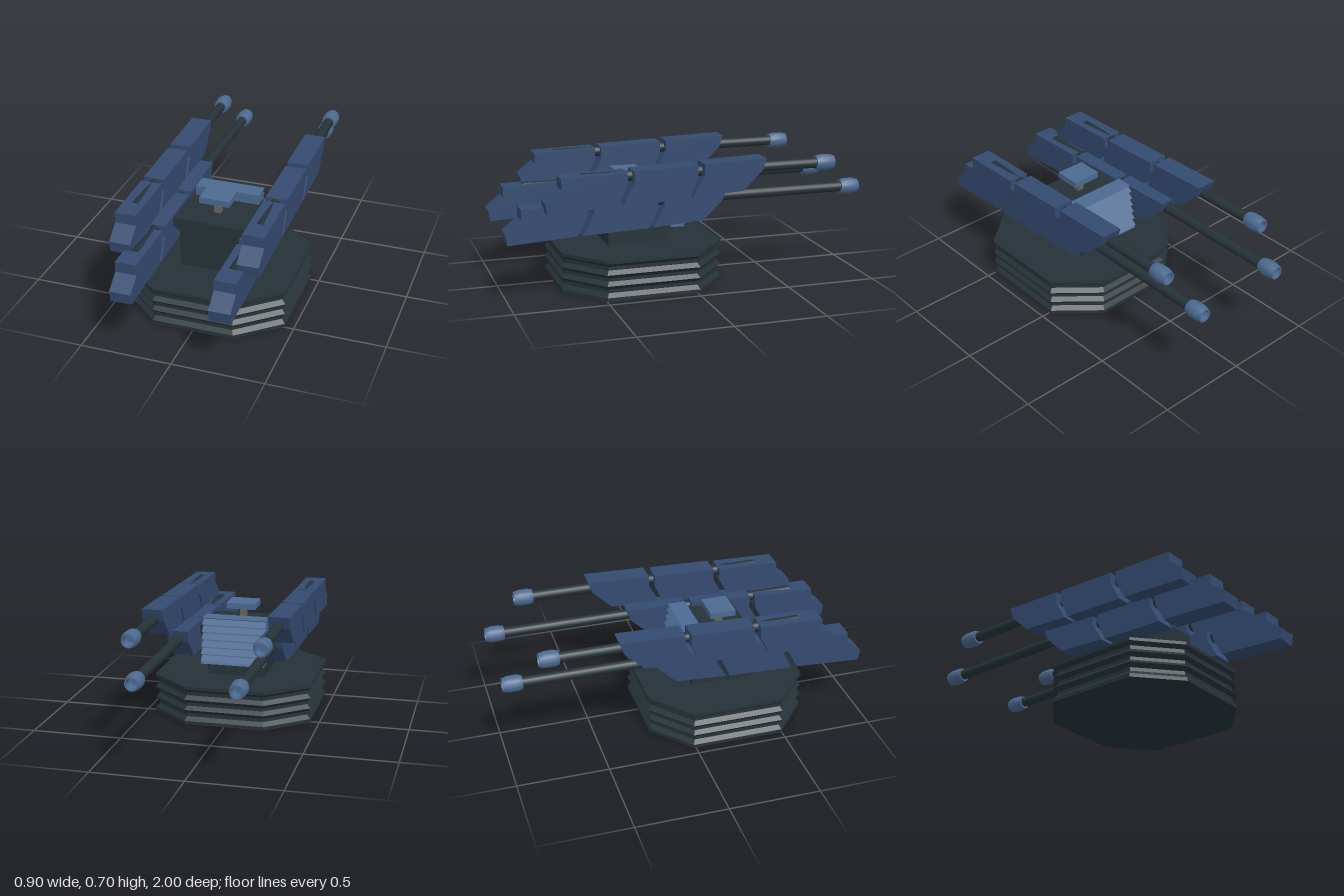
import * as THREE from 'three';
import { toCreasedNormals } from 'three/addons/utils/BufferGeometryUtils.js';

const mat = (color, extra = {}) => new THREE.MeshStandardMaterial({ color, ...extra });
const dark = mat(0x263238, { flatShading: true });
const darkSmooth = mat(0x263238);
const navy = mat(0x344b70, { flatShading: true });
const steel = mat(0x4c6a90, { flatShading: true });
const steelSmooth = mat(0x4c6a90);
const bronze = mat(0x6b635c, { flatShading: true });

function add(parent, name, geometry, material, x = 0, y = 0, z = 0) {
  const mesh = new THREE.Mesh(geometry, material);
  mesh.name = name;
  mesh.position.set(x, y, z);
  parent.add(mesh);
  return mesh;
}

// Extrudes a list of [a, y] points, centred on the extrusion axis
function extrude(points, depth) {
  const shape = new THREE.Shape(points.map(([a, y]) => new THREE.Vector2(a, y)));
  const geo = new THREE.ExtrudeGeometry(shape, { depth, bevelEnabled: false });
  return geo.translate(0, 0, -depth / 2);
}

// Side profile of [z, y] points, given a width along x
const sideProfile = (points, width) => extrude(points, width).rotateY(-Math.PI / 2);

// Ribbed eight-sided base, stacked from scaled octagon rings
function baseGeometry() {
  const octagon = [[0.225, 0.4475], [0.45, 0.255], [0.45, -0.255], [0.225, -0.4475],
    [-0.225, -0.4475], [-0.45, -0.255], [-0.45, 0.255], [-0.225, 0.4475]];
  const inner = 0.957;
  const rings = [[0, 0], [0, 1], [0.02, 1], [0.042, inner], [0.062, inner], [0.083, 1],
    [0.104, inner], [0.122, inner], [0.143, 1], [0.165, inner], [0.185, inner],
    [0.203, 1], [0.22, 1], [0.22, 0]];
  const positions = [], index = [], n = octagon.length;
  for (const [y, s] of rings) for (const [x, z] of octagon) positions.push(x * s, y, z * s);
  for (let r = 0; r < rings.length - 1; r++) {
    for (let i = 0; i < n; i++) {
      const a = r * n + i, b = r * n + (i + 1) % n;
      index.push(a, b, b + n, a, b + n, a + n);
    }
  }
  const geo = new THREE.BufferGeometry();
  geo.setAttribute('position', new THREE.Float32BufferAttribute(positions, 3));
  geo.setIndex(index);
  geo.computeVertexNormals();
  return geo;
}

// Leaning rear plate with sawtooth louvres on its back
function louvreProfile() {
  const points = [[0.13, 0.5], [0.13, 0.555], [0.03, 0.555]];
  const ribs = 6, top = 0.545, bottom = 0.3;
  for (let i = 0; i < ribs; i++) {
    const t = i / ribs, u = (i + 0.65) / ribs, v = (i + 0.75) / ribs;
    const y = (k) => top + (bottom - top) * k;
    const back = (k) => 0.03 - 0.045 * k;
    points.push([back(t) + 0.025, y(t)], [back(u) - 0.003, y(u)], [back(v) + 0.025, y(v)]);
  }
  points.push([-0.015, 0.3], [0.062, 0.3], [0.09, 0.34]);
  return points;
}

// Hollow muzzle pointing to -z, starting at its own origin
function muzzleGeometry(length) {
  const profile = [[0.027, 0], [0.038, 0], [0.045, 0.25], [0.045, 0.7], [0.037, 1],
    [0.03, 1], [0.028, 0.35], [0, 0.35]].map(([r, t]) => new THREE.Vector2(r, t * length));
  return toCreasedNormals(new THREE.LatheGeometry(profile, 16).rotateX(-Math.PI / 2), 0.6);
}

// Three armour segments of one gun pod, as [z, y] side profiles
const segments = {
  frontArmour: [[0.72, 0.66], [0.37, 0.67], [0.37, 0.605], [0.425, 0.497],
    [0.795, 0.475], [0.805, 0.535], [0.72, 0.602]],
  middleArmour: [[0.335, 0.674], [-0.015, 0.685], [-0.015, 0.62], [0.035, 0.51],
    [0.395, 0.497], [0.335, 0.61]],
  rearArmour: [[-0.05, 0.689], [-0.4, 0.7], [-0.378, 0.635], [-0.27, 0.53],
    [0.012, 0.512], [-0.05, 0.622]],
};

function gunPod(name, x, dy, dz, barrelX, barrelY, muzzleZ, tipZ) {
  const pod = new THREE.Group();
  pod.name = name;
  for (const [part, points] of Object.entries(segments)) {
    add(pod, part, sideProfile(points, 0.116), navy, x, dy, dz);
  }
  const start = dz + 0.6, length = start - muzzleZ + 0.02;
  const tube = new THREE.CylinderGeometry(0.028, 0.028, length, 16).rotateX(Math.PI / 2);
  add(pod, 'barrel', tube, darkSmooth, barrelX, barrelY, start - length / 2);
  add(pod, 'muzzle', muzzleGeometry(muzzleZ - tipZ), steelSmooth, barrelX, barrelY, muzzleZ);
  return pod;
}

export function createModel() {
  const model = new THREE.Group();
  model.name = 'gunTurret';

  add(model, 'base', baseGeometry(), dark, 0, 0, 0.2425);

  // Central column, flared at the top to carry the pods
  const column = [[-0.168, 0.21], [0.16, 0.21], [0.16, 0.428], [0.206, 0.455], [0.206, 0.5],
    [-0.206, 0.5], [-0.206, 0.455], [-0.168, 0.428]];
  add(model, 'column', extrude(column, 0.35), dark, 0, 0, 0.24);
  add(model, 'rearLouvre', sideProfile(louvreProfile(), 0.362), steel);

  // Sight on top
  add(model, 'sightStem', new THREE.BoxGeometry(0.037, 0.08, 0.04), bronze, -0.001, 0.537, 0.268);
  add(model, 'sightPlate', new THREE.BoxGeometry(0.168, 0.034, 0.146), steel, 0, 0.591, 0.268);

  // Upper outer and lower inner gun pods on both sides
  for (const [side, s] of [['left', 1], ['right', -1]]) {
    model.add(gunPod(side + 'UpperPod', s * 0.342, 0, 0, s * 0.338, 0.642, -0.71, -0.815));
    model.add(gunPod(side + 'LowerPod', s * 0.263, -0.165, 0.196, s * 0.263, 0.48, -0.895, -1));
  }
  return model;
}
